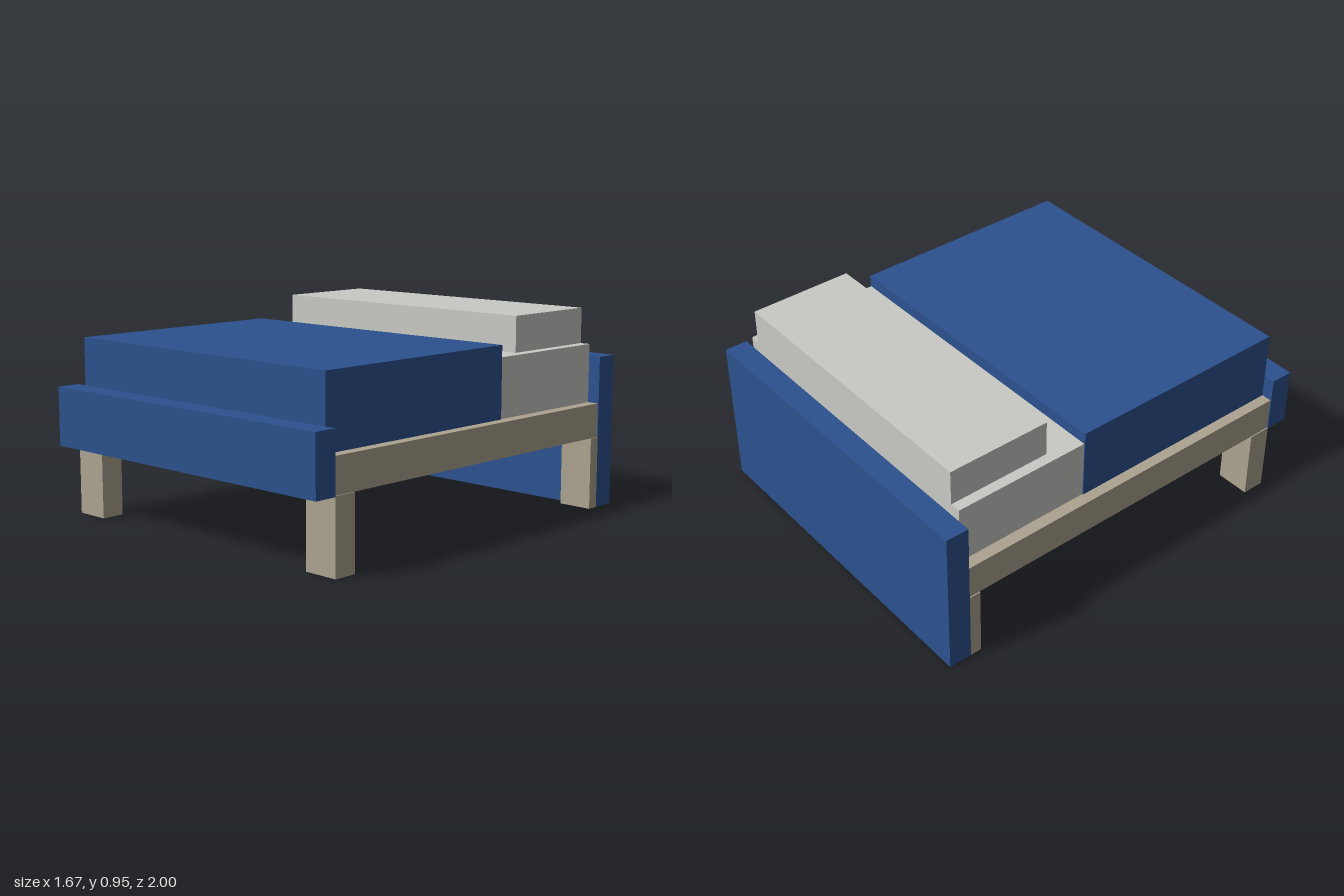
import * as THREE from 'three';

export function createModel() {
  const bed = new THREE.Group();
  bed.name = 'bed';

  const material = (name, color) => {
    const m = new THREE.MeshStandardMaterial({ color });
    m.name = name;
    return m;
  };
  const blue = material('blue', 0x2c518e);
  const wood = material('wood', 0xada390);
  const linen = material('linen', 0xc9c9c4);

  // Box given by its extents along each axis
  const box = (name, mat, [x0, x1], [y0, y1], [z0, z1]) => {
    const mesh = new THREE.Mesh(new THREE.BoxGeometry(x1 - x0, y1 - y0, z1 - z0), mat);
    mesh.position.set((x0 + x1) / 2, (y0 + y1) / 2, (z0 + z1) / 2);
    mesh.name = name;
    bed.add(mesh);
  };

  // End boards
  box('headboard', blue, [-0.833, 0.833], [0, 0.722], [-1, -0.889]);
  box('footboard', blue, [-0.833, 0.833], [0.335, 0.611], [0.889, 1]);

  // Base and bedding
  box('frame', wood, [-0.828, 0.828], [0.339, 0.5], [-0.889, 0.889]);
  box('mattress', linen, [-0.772, 0.772], [0.5, 0.778], [-0.889, 0.88]);
  box('blanket', blue, [-0.777, 0.777], [0.5, 0.834], [-0.222, 0.889]);
  box('pillow', linen, [-0.722, 0.722], [0.778, 0.946], [-0.889, -0.389]);

  // Four legs, the rear pair meeting the headboard
  for (const [side, x] of [['left', [0.666, 0.833]], ['right', [-0.833, -0.666]]]) {
    box(side + 'FrontLeg', wood, x, [0, 0.339], [0.778, 0.889]);
    box(side + 'BackLeg', wood, x, [0, 0.339], [-0.889, -0.834]);
  }

  return bed;
}
